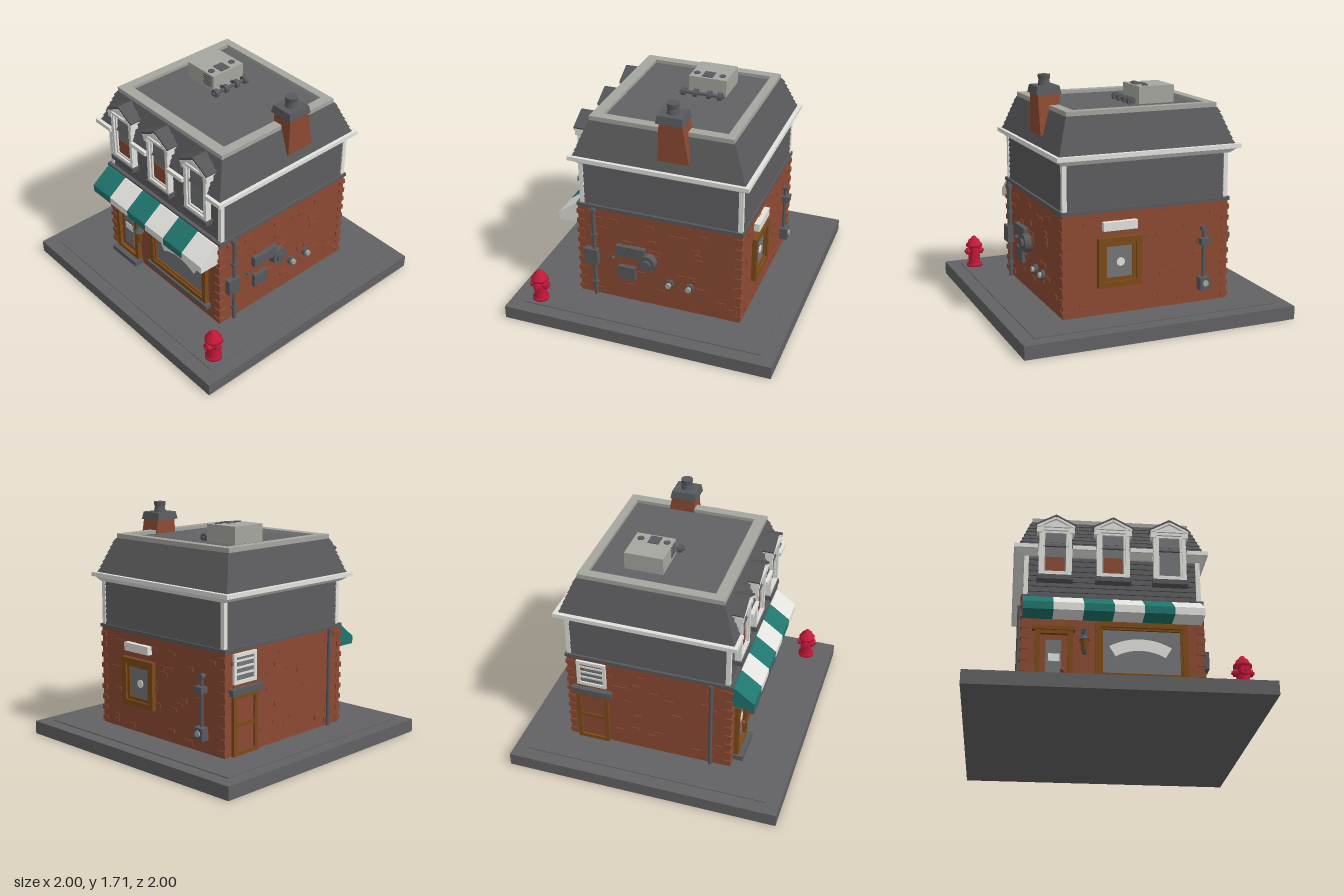
import * as THREE from 'three';

const mat = (name, color) => Object.assign(new THREE.MeshStandardMaterial({ color }), { name });

export function createModel() {
  const root = new THREE.Group();
  root.name = 'cornerShop';
  const paving = mat('paving grey', 0x626264), brick = mat('brick', 0x8c4a33), shingle = mat('shingle', 0x565658),
    stone = mat('pale stone', 0xa6a6a0), white = mat('white trim', 0xe2e2de), teal = mat('teal', 0x1f756d),
    red = mat('red', 0xc4183a), wood = mat('wood', 0x7d4a18), metal = mat('metal', 0x57595d), glass = mat('glass', 0x737577);

  let seed = 7;
  const rnd = () => (seed = (seed * 16807) % 2147483647) / 2147483647;

  const add = (name, geo, m, x = 0, y = 0, z = 0, parent = root) => {
    const o = new THREE.Mesh(geo, m);
    o.name = name;
    o.position.set(x, y, z);
    parent.add(o);
    return o;
  };
  const box = (name, m, x0, x1, y0, y1, z0, z1, parent) =>
    add(name, new THREE.BoxGeometry(x1 - x0, y1 - y0, z1 - z0), m, (x0 + x1) / 2, (y0 + y1) / 2, (z0 + z1) / 2, parent);
  const cyl = (name, m, rTop, rBot, h, x, y, z, axis = 'y', sides = 16) => {
    const g = new THREE.CylinderGeometry(rTop, rBot, h, sides);
    if (axis === 'x') g.rotateZ(-Math.PI / 2);
    if (axis === 'z') g.rotateX(Math.PI / 2);
    return add(name, g, m, x, y, z);
  };
  // Box whose lower and upper rectangles [x0, x1, z0, z1] differ
  const frustum = (name, m, lo, hi, y0, y1) => {
    const g = new THREE.BoxGeometry(1, 1, 1), p = g.attributes.position;
    for (let i = 0; i < p.count; i++) {
      const r = p.getY(i) > 0 ? hi : lo;
      p.setXYZ(i, p.getX(i) > 0 ? r[1] : r[0], p.getY(i) > 0 ? y1 : y0, p.getZ(i) > 0 ? r[3] : r[2]);
    }
    g.computeVertexNormals();
    return add(name, g, m);
  };
  const grow = (r, d) => [r[0] - d, r[1] + d, r[2] - d, r[3] + d];
  const mix = (a, b, t) => a.map((v, i) => v + (b[i] - v) * t);
  // Rectangular frame facing +z, made of four bars
  const frame = (name, m, x0, x1, y0, y1, z0, z1, w, parent) => {
    box(name, m, x0, x0 + w, y0, y1, z0, z1, parent);
    box(name, m, x1 - w, x1, y0, y1, z0, z1, parent);
    box(name, m, x0 + w, x1 - w, y0, y0 + w, z0, z1, parent);
    box(name, m, x0 + w, x1 - w, y1 - w, y1, z0, z1, parent);
  };

  // Pavement
  box('pavementKerb', paving, -1, 1, 0, 0.096, -1, 1);
  box('pavementSlab', paving, -0.9, 0.9, 0.09, 0.102, -0.9, 0.9);

  // Brick ground floor with scattered raised bricks and toothed corners
  const X0 = -0.635, X1 = 0.61, Z0 = -0.655, Z1 = 0.565;
  box('brickWalls', brick, X0, X1, 0.1, 0.83, Z0, Z1);
  for (let i = 0; i < 90; i++) {
    const y = 0.13 + Math.floor(rnd() * 17) * 0.04, w = 0.06, d = 0.006, side = i % 3;
    const u = rnd();
    if (side === 0) { const x = X0 + 0.02 + u * 1.14; box('raisedBrick', brick, x, x + w, y, y + 0.03, Z0 - d, Z0); }
    else { const z = Z0 + 0.02 + u * 1.12, x = side === 1 ? X1 : X0 - d; box('raisedBrick', brick, x, x + d, y, y + 0.03, z, z + w); }
  }
  for (let k = 0; k < 9; k++)
    for (const x of [X0, X1]) for (const z of [Z0, Z1])
      box('cornerBrick', brick, x - 0.045 * (x > 0 ? 1 : 0.17), x + 0.045 * (x > 0 ? 0.17 : 1), 0.12 + k * 0.08, 0.155 + k * 0.08,
        z - (z > 0 ? 0.045 : 0.008), z + (z > 0 ? 0.008 : 0.045));

  // Lapped siding on the upper floor
  const upper = [-0.62, 0.595, -0.645, 0.535];
  box('floorBand', metal, -0.645, 0.62, 0.825, 0.85, -0.665, 0.57);
  for (let i = 0; i < 8; i++)
    frustum('sidingBoard', shingle, grow(upper, 0.008), grow(upper, -0.002), 0.85 + i * 0.041, 0.891 + i * 0.041);
  for (const x of [-0.63, 0.575]) for (const z of [-0.655, 0.515])
    box('cornerPost', white, x, x + 0.032, 0.85, 1.18, z, z + 0.032);

  // Cornice, broken at the front by the dormer windows
  const dormerX = [-0.415, -0.01, 0.39];
  frustum('corniceMoulding', white, [-0.635, 0.61, -0.66, 0.55], [-0.69, 0.645, -0.69, 0.55], 1.165, 1.2);
  box('corniceTop', white, -0.705, 0.66, 1.2, 1.23, -0.705, 0.55);
  const gaps = [-0.705, ...dormerX.flatMap(x => [x - 0.12, x + 0.12]), 0.66];
  for (let i = 0; i < 8; i += 2) {
    const a = gaps[i], b = gaps[i + 1];
    frustum('frontCorniceMoulding', white, [a + (i ? 0 : 0.07), b - (i < 6 ? 0 : 0.05), 0.5, 0.555], [a + (i ? 0 : 0.015), b - (i < 6 ? 0 : 0.015), 0.5, 0.59], 1.165, 1.2);
    box('frontCorniceTop', white, a, b, 1.2, 1.23, 0.5, 0.605);
  }

  // Mansard roof in shingle courses
  const low = [-0.67, 0.63, -0.67, 0.575], high = [-0.585, 0.545, -0.57, 0.485];
  for (let i = 0; i < 7; i++)
    frustum('shingleCourse', shingle, grow(mix(low, high, i / 7), 0.005), grow(mix(low, high, (i + 1) / 7), -0.003),
      1.23 + i * 0.035, 1.265 + i * 0.035);
  box('flatRoof', paving, -0.52, 0.48, 1.46, 1.483, -0.51, 0.41);
  box('roofRim', stone, -0.58, 0.54, 1.47, 1.507, -0.56, -0.5);
  box('roofRim', stone, -0.58, 0.54, 1.47, 1.507, 0.4, 0.48);
  box('roofRim', stone, -0.58, -0.51, 1.47, 1.507, -0.5, 0.4);
  box('roofRim', stone, 0.47, 0.54, 1.47, 1.507, -0.5, 0.4);

  // Dormer windows
  dormerX.forEach((cx, i) => {
    const d = new THREE.Group();
    d.name = 'dormerWindow';
    d.position.x = cx;
    root.add(d);
    box('dormerBody', shingle, -0.11, 0.11, 0.99, 1.38, 0.42, 0.56, d);
    box('dormerGlass', glass, -0.08, 0.08, 1.02, 1.36, 0.56, 0.565, d);
    if (i < 2) box('dormerBlind', brick, -0.065, 0.065, 1.02, i ? 1.16 : 1.15, 0.565, 0.57, d);
    frame('dormerFrame', white, -0.115, 0.115, 0.995, 1.38, 0.545, 0.592, 0.027, d);
    frame('dormerSash', white, -0.088, 0.088, 1.022, 1.353, 0.56, 0.578, 0.014, d);
    box('dormerSill', metal, -0.125, 0.125, 0.962, 0.997, 0.53, 0.602, d);
    for (const s of [-1, 1]) box('dormerBracket', white, s * 0.115 - 0.018, s * 0.115 + 0.018, 1.33, 1.385, 0.54, 0.6, d);
    const tri = (w, y0, y1) => new THREE.Shape([[-w, y0], [w, y0], [0, y1]].map(p => new THREE.Vector2(...p)));
    add('dormerGable', new THREE.ExtrudeGeometry(tri(0.11, 1.38, 1.435), { depth: 0.12, bevelEnabled: false }), white, 0, 0, 0.472, d);
    for (const s of [-1, 1]) {
      const slope = Math.atan2(0.075, 0.135);
      const r = add('dormerRoof', new THREE.BoxGeometry(0.16, 0.02, 0.13), shingle, s * 0.067, 1.425, 0.54, d);
      r.rotation.z = -s * slope;
      const t = add('gableTrim', new THREE.BoxGeometry(0.15, 0.016, 0.03), white, s * 0.067, 1.41, 0.593, d);
      t.rotation.z = -s * slope;
    }
    box('gableBase', white, -0.135, 0.135, 1.372, 1.387, 0.5, 0.604, d);
  });

  // Striped awning
  const side = new THREE.Shape([[0.55, 0.67], [0.722, 0.67], [0.722, 0.725], [0.7, 0.742], [0.58, 0.832], [0.55, 0.835]].map(p => new THREE.Vector2(...p)));
  for (let i = 0; i < 6; i++) {
    const g = new THREE.ExtrudeGeometry(side, { depth: 0.205, bevelEnabled: false }).rotateY(-Math.PI / 2);
    add('awningStripe', g, i % 2 ? white : teal, -0.63 + (i + 1) * 0.205);
  }

  // Front door
  box('doorStep', metal, -0.555, -0.275, 0.1, 0.14, 0.55, 0.64);
  box('doorPanel', brick, -0.51, -0.32, 0.14, 0.58, 0.56, 0.572);
  frame('doorFrame', wood, -0.54, -0.285, 0.13, 0.585, 0.55, 0.6, 0.035);
  box('doorLintel', wood, -0.56, -0.27, 0.575, 0.6, 0.55, 0.61);
  box('doorGlass', glass, -0.467, -0.362, 0.2, 0.51, 0.572, 0.577);
  box('doorNotice', white, -0.45, -0.372, 0.355, 0.41, 0.577, 0.582);
  add('doorKnob', new THREE.SphereGeometry(0.017, 12, 8), brick, -0.352, 0.29, 0.585);

  // Display window
  box('displayGlass', glass, -0.1, 0.46, 0.26, 0.62, 0.56, 0.57);
  frame('displayFrame', wood, -0.13, 0.495, 0.235, 0.65, 0.55, 0.6, 0.035);
  frame('displayInnerFrame', wood, -0.1, 0.465, 0.265, 0.62, 0.56, 0.585, 0.018);
  box('displaySill', metal, -0.15, 0.52, 0.202, 0.237, 0.55, 0.615);
  add('displayArch', new THREE.RingGeometry(0.33, 0.415, 24, 1, Math.PI / 2 - 0.54, 1.08), white, 0.175, 0.125, 0.576);

  // Wall lantern
  box('lanternPlate', metal, -0.235, -0.185, 0.52, 0.6, 0.56, 0.575);
  box('lanternArm', metal, -0.222, -0.198, 0.565, 0.58, 0.57, 0.645);
  cyl('lanternHanger', metal, 0.006, 0.006, 0.07, -0.21, 0.54, 0.635);
  cyl('lanternCap', metal, 0.008, 0.038, 0.035, -0.21, 0.508, 0.635, 'y', 8);
  cyl('lanternGlass', wood, 0.03, 0.02, 0.08, -0.21, 0.45, 0.635, 'y', 8);
  cyl('lanternBase', metal, 0.022, 0.014, 0.02, -0.21, 0.402, 0.635, 'y', 8);

  // Fittings on the left wall (+x)
  cyl('drainPipe', metal, 0.014, 0.014, 0.73, 0.627, 0.465, 0.44);
  for (const y of [0.2, 0.6, 0.8]) box('pipeClip', metal, 0.605, 0.645, y, y + 0.02, 0.42, 0.46);
  box('meterBox', metal, 0.6, 0.655, 0.37, 0.495, 0.41, 0.51);
  box('ductBox', metal, 0.6, 0.65, 0.49, 0.57, 0.05, 0.265);
  cyl('fanHousing', metal, 0.065, 0.068, 0.06, 0.635, 0.47, 0.03, 'x', 20);
  cyl('fanHub', metal, 0.035, 0.035, 0.02, 0.672, 0.47, 0.03, 'x');
  box('fuseBox', metal, 0.6, 0.64, 0.29, 0.395, 0.128, 0.255);
  cyl('wallStud', metal, 0.013, 0.013, 0.03, 0.62, 0.44, 0.305, 'x');
  for (const z of [-0.13, -0.28]) {
    cyl('ventFlange', metal, 0.036, 0.036, 0.03, 0.62, 0.315, z, 'x', 6);
    cyl('ventSpout', stone, 0.02, 0.02, 0.03, 0.64, 0.315, z, 'x');
  }

  // Back wall window, light box and standpipe
  box('backGlass', glass, 0.08, 0.32, 0.33, 0.62, -0.665, -0.655);
  frame('backFrame', wood, 0.04, 0.36, 0.3, 0.65, -0.69, -0.65, 0.04);
  frame('backInnerFrame', wood, 0.08, 0.32, 0.34, 0.61, -0.675, -0.65, 0.025);
  cyl('backWindowNotice', white, 0.03, 0.03, 0.006, 0.19, 0.47, -0.667, 'z');
  box('backLightBox', white, 0.075, 0.325, 0.7, 0.76, -0.695, -0.65);
  cyl('standpipe', metal, 0.012, 0.012, 0.44, -0.44, 0.42, -0.675);
  box('standpipeValve', metal, -0.475, -0.405, 0.53, 0.575, -0.715, -0.65);
  box('gasMeter', metal, -0.48, -0.4, 0.2, 0.29, -0.715, -0.65);
  cyl('gasMeterDial', stone, 0.022, 0.022, 0.012, -0.44, 0.25, -0.718, 'z');
  cyl('pipeElbow', metal, 0.02, 0.02, 0.04, -0.44, 0.64, -0.67, 'z');

  // Side door, canopy and window on the right wall (-x)
  const sideWall = new THREE.Group();
  sideWall.name = 'sideEntrance';
  sideWall.position.set(X0, 0, -0.47);
  sideWall.rotation.y = -Math.PI / 2;
  root.add(sideWall);
  box('sideDoorPanel', brick, -0.09, 0.09, 0.1, 0.5, 0, 0.006, sideWall);
  frame('sideDoorFrame', wood, -0.12, 0.12, 0.1, 0.53, -0.01, 0.022, 0.03, sideWall);
  box('sideDoorRail', wood, -0.09, 0.09, 0.3, 0.33, 0, 0.014, sideWall);
  box('sideCanopy', metal, -0.15, 0.15, 0.53, 0.575, -0.01, 0.04, sideWall);
  box('sideWindowGlass', glass, -0.1, 0.1, 0.61, 0.8, 0, 0.006, sideWall);
  frame('sideWindowFrame', white, -0.11, 0.11, 0.6, 0.81, -0.01, 0.018, 0.024, sideWall);
  for (const y of [0.66, 0.705, 0.75]) box('sideWindowBar', white, -0.09, 0.09, y, y + 0.014, 0, 0.012, sideWall);
  cyl('drainPipe', metal, 0.014, 0.014, 0.73, -0.65, 0.465, 0.42);

  // Chimney
  frustum('chimneyStack', brick, [0.455, 0.62, -0.275, -0.05], [0.465, 0.618, -0.225, -0.06], 1.3, 1.59);
  frustum('chimneyCap', metal, [0.45, 0.632, -0.235, -0.04], [0.46, 0.622, -0.225, -0.05], 1.58, 1.635);
  cyl('chimneyPot', metal, 0.036, 0.044, 0.05, 0.542, 1.655, -0.135);
  cyl('chimneyPotRim', metal, 0.044, 0.04, 0.035, 0.542, 1.692, -0.135);

  // Rooftop cooling unit and pipe run
  box('coolingUnit', stone, -0.38, -0.108, 1.48, 1.608, -0.29, -0.01);
  box('unitGrille', metal, -0.215, -0.125, 1.608, 1.613, -0.18, -0.1);
  for (let i = 0; i < 5; i++) box('unitLouvre', metal, -0.21, -0.125, 1.515 + i * 0.018, 1.523 + i * 0.018, -0.01, -0.004);
  for (const z of [-0.24, -0.05]) cyl('unitFan', metal, 0.024, 0.024, 0.008, -0.175, 1.61, z);
  cyl('roofPipe', metal, 0.012, 0.012, 0.33, -0.06, 1.505, -0.125, 'z');
  for (const z of [-0.26, -0.18, -0.08, 0.01]) cyl('roofPipeCollar', metal, 0.03, 0.03, 0.03, -0.06, 1.505, z, 'z');
  for (const z of [-0.18, -0.08]) cyl('roofPipeBranch', metal, 0.012, 0.012, 0.06, -0.085, 1.505, z, 'x');

  // Fire hydrant
  const profile = [[0, 0.1], [0.06, 0.1], [0.06, 0.12], [0.045, 0.125], [0.045, 0.255], [0.062, 0.26], [0.062, 0.278],
    [0.05, 0.285], [0.042, 0.31], [0.022, 0.325], [0.016, 0.338], [0, 0.338]];
  add('hydrantBody', new THREE.LatheGeometry(profile.map(p => new THREE.Vector2(...p)), 20), red, 0.815, 0, 0.8);
  cyl('hydrantSideCaps', red, 0.026, 0.026, 0.125, 0.815, 0.222, 0.8, 'x');
  cyl('hydrantSideNuts', red, 0.012, 0.012, 0.15, 0.815, 0.222, 0.8, 'x', 6);
  cyl('hydrantFrontCap', red, 0.03, 0.03, 0.13, 0.815, 0.222, 0.8, 'z');
  cyl('hydrantFrontNut', red, 0.013, 0.013, 0.15, 0.815, 0.222, 0.8, 'z', 6);

  return root;
}
